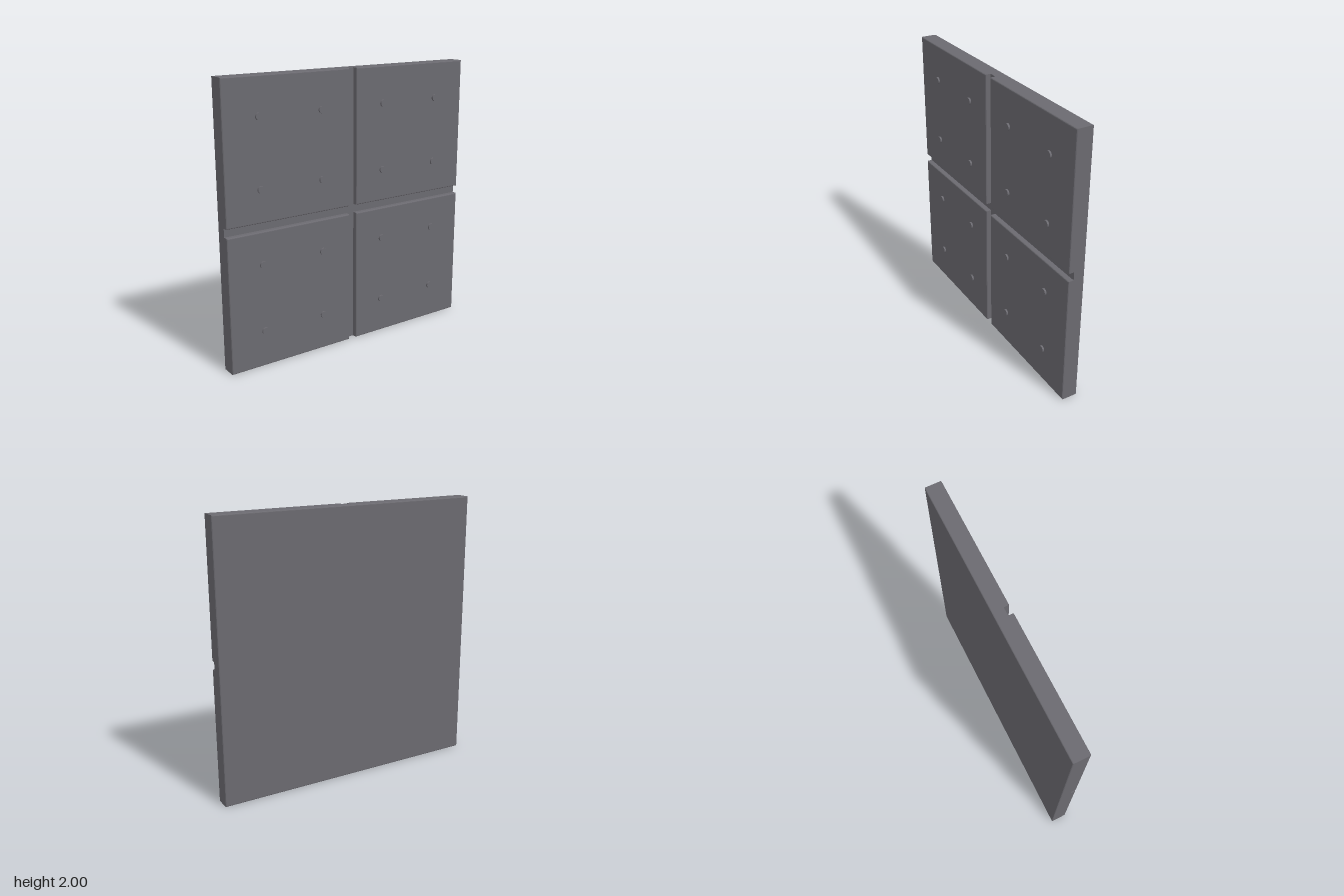
import * as THREE from 'three';

const BACK = -0.066, GROOVE = 0.015, FACE = 0.053, STUD_TOP = 0.066;
const HALF = 1, GAP = 0.03, ROUND = 0.008;

// Quarter-round profile points from the side (r, z) towards a cap; dir is +1 front, -1 back
function roundEdge(r, z, dir, radius, steps = 3) {
  const points = [];
  for (let i = 0; i <= steps; i++) {
    const a = (i / steps) * Math.PI / 2;
    points.push([r - radius * (1 - Math.cos(a)), z - dir * radius * (1 - Math.sin(a))]);
  }
  return points;
}

// Square solid facing +z, swept in four flat sides from [half width, z] pairs
function squareSolid(profile) {
  const points = profile.map(([r, z]) => new THREE.Vector2(r * Math.SQRT2, z));
  return new THREE.LatheGeometry(points, 4, Math.PI / 4).rotateX(Math.PI / 2);
}

export function createModel() {
  const model = new THREE.Group();
  const material = new THREE.MeshStandardMaterial({ color: 0x6b6a70, flatShading: true });
  const studMaterial = new THREE.MeshStandardMaterial({ color: 0x6b6a70 });

  const add = (name, geometry, x, y, z, mat = material) => {
    const mesh = new THREE.Mesh(geometry, mat);
    mesh.name = name;
    mesh.position.set(x, y, z);
    model.add(mesh);
  };

  // Backing slab, rounded along its rear edges
  const backing = squareSolid([
    [0, BACK], ...roundEdge(HALF, BACK, -1, ROUND).reverse(), [HALF, GROOVE], [0, GROOVE],
  ]);
  add('backingSlab', backing, 0, HALF, 0);

  // Raised panels separated by the cross-shaped groove, each with four studs
  const panelHalf = (HALF - GAP) / 2;
  const panelCentre = (HALF + GAP) / 2;
  const panel = squareSolid([
    [panelHalf, GROOVE], ...roundEdge(panelHalf, FACE, 1, ROUND), [0, FACE],
  ]);
  const stud = new THREE.CylinderGeometry(0.025, 0.025, STUD_TOP - FACE + 0.004, 24).rotateX(Math.PI / 2);
  const studZ = (STUD_TOP + FACE - 0.004) / 2;

  for (const sx of [-1, 1]) {
    for (const sy of [-1, 1]) {
      add('panel', panel, sx * panelCentre, HALF + sy * panelCentre, 0);
      for (const dx of [0.26, 0.74]) {
        for (const dy of [0.26, 0.74]) {
          add('stud', stud, sx * dx, HALF + sy * dy, studZ, studMaterial);
        }
      }
    }
  }
  return model;
}
